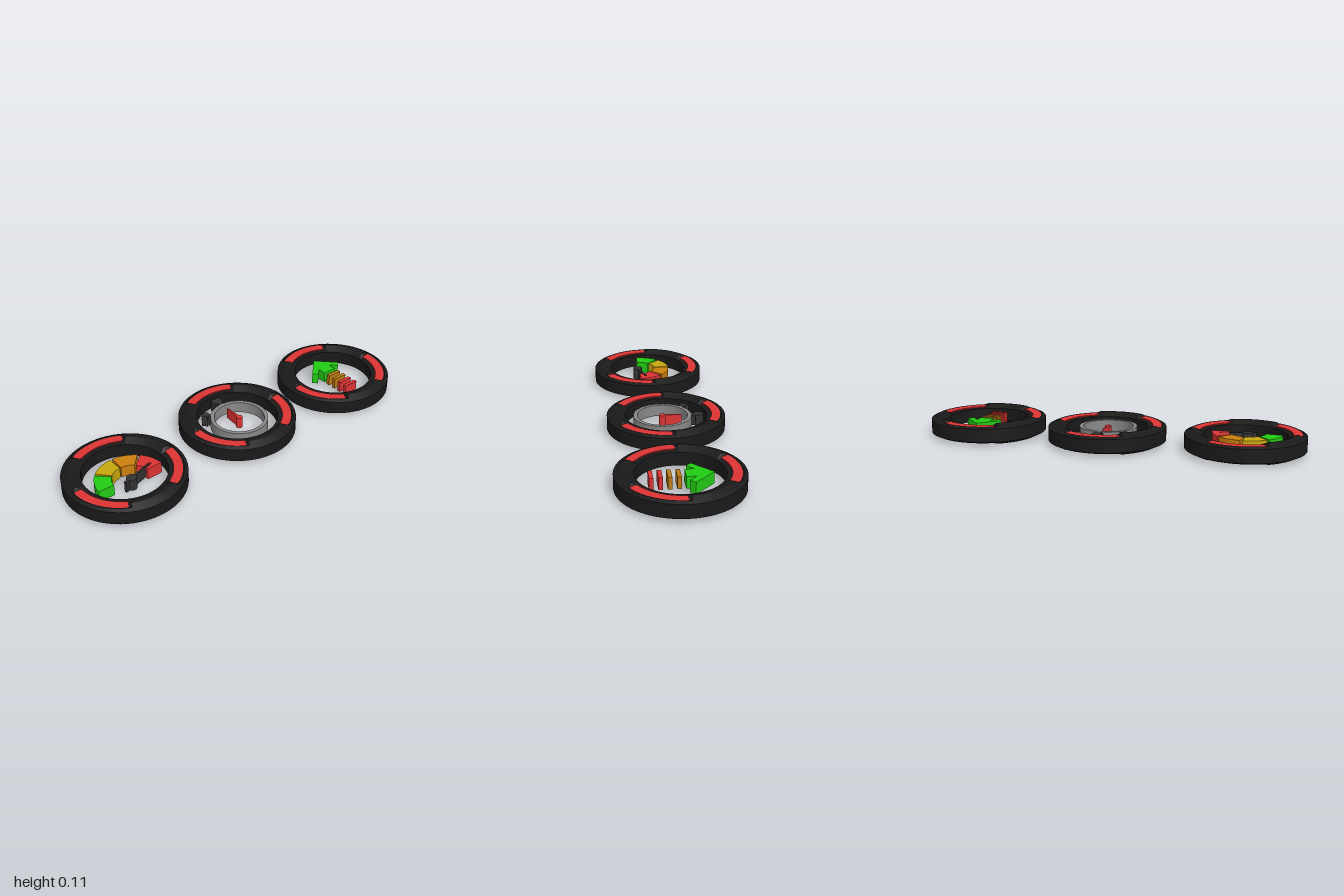
import * as THREE from 'three';
import { toCreasedNormals } from 'three/addons/utils/BufferGeometryUtils.js';

const H = 0.107;               // overall height
const LOW = 0.024, THICK = 0.06; // base and thickness of the inner symbols
const RAD = Math.PI / 180;

const paint = (color) => new THREE.MeshStandardMaterial({ color });
const black = paint(0x1a1a1a), dark = paint(0x333333), silver = paint(0x888888);
const red = paint(0xdd3333), green = paint(0x22cc14), yellow = paint(0xc8a80e);
const orange = paint(0xcc800e), amber = paint(0xbb7a14);

function add(group, name, geometry, material) {
  const mesh = new THREE.Mesh(geometry, material);
  mesh.name = name;
  group.add(mesh);
  return mesh;
}

// Lay a shape flat (shape up = away from the front) and give it thickness
function slab(shape, low = LOW, thick = THICK) {
  const geo = new THREE.ExtrudeGeometry(shape, { depth: thick, bevelEnabled: false, curveSegments: 24 });
  geo.rotateX(-Math.PI / 2).translate(0, low, 0);
  return toCreasedNormals(geo, 0.5);
}

const polygon = (points) => new THREE.Shape(points.map(([x, y]) => new THREE.Vector2(x, y)));

const disc = (r) => new THREE.CylinderGeometry(r, r, THICK, 24).translate(0, LOW + THICK / 2, 0);

// Chamfered ring whose crown dips at three slots
function ringGeometry() {
  const top = [[0.305, 0.088], [0.286, 0.097], [0.265, H], [0.25, H], [0.236, 0.1], [0.21, 0.088]];
  const bottom = top.map(([r, y]) => [r, H - y]).reverse();
  const loop = [...top, ...bottom, top[0]].map(([r, y]) => new THREE.Vector2(r, y));
  const geo = new THREE.LatheGeometry(loop, 96);
  const pos = geo.attributes.position;
  for (let i = 0; i < pos.count; i++) {
    const x = pos.getX(i), y = pos.getY(i), z = pos.getZ(i);
    const r = Math.hypot(x, z);
    if (r < 0.23 || r > 0.28) continue;
    // angle from the nearest slot centre
    const phi = Math.atan2(x, -z) / RAD + 360;
    const off = Math.abs(((phi + 60) % 120) - 60);
    const depth = 1 - THREE.MathUtils.smoothstep(off, 29, 34);
    const side = y > H / 2 ? 1 : -1;
    const height = Math.abs(y - H / 2);
    pos.setY(i, H / 2 + side * THREE.MathUtils.lerp(height, 0.0365, depth));
  }
  return toCreasedNormals(geo, 0.35);
}

// Curved strip with round ends, set in each slot
function stripGeometry() {
  const m = 0.26, w = 0.025, a = 27 * RAD;
  const s = new THREE.Shape();
  s.absarc(0, 0, m + w, -a, a, false);
  s.absarc(m * Math.cos(a), m * Math.sin(a), w, a, a + Math.PI, false);
  s.absarc(0, 0, m - w, a, -a, true);
  s.absarc(m * Math.cos(a), -m * Math.sin(a), w, Math.PI - a, 2 * Math.PI - a, false);
  return slab(s, 0.012, H - 0.024);
}

function makeRing(name, x, z) {
  const group = new THREE.Group();
  group.name = name;
  group.position.set(x, 0, z);
  add(group, 'ring', ringGeometry(), black);
  for (let i = 0; i < 3; i++) {
    add(group, 'inlay', stripGeometry(), red).rotation.y = (90 + i * 120) * RAD;
  }
  return group;
}

// Gauge with four sectors and a needle
function gauge(group) {
  const dial = new THREE.Group();
  dial.name = 'dial';
  dial.position.z = 0.058;
  group.add(dial);
  const inner = 0.095, outer = 0.178;
  [red, orange, yellow, green].forEach((material, i) => {
    const a = (i * 45 + 2) * RAD, b = (i * 45 + 43) * RAD;
    const s = new THREE.Shape();
    s.absarc(0, 0, outer, a, b, false);
    if (i === 0) {
      // clearance for the needle tip
      const p = 21 * RAD, q = 11 * RAD, tip = 0.14;
      s.absarc(0, 0, inner, b, p, true);
      s.lineTo(tip * Math.cos(18.5 * RAD), tip * Math.sin(18.5 * RAD));
      s.lineTo(tip * Math.cos(13 * RAD), tip * Math.sin(13 * RAD));
      s.absarc(0, 0, inner, q, a, true);
    } else {
      s.absarc(0, 0, inner, b, a, true);
    }
    s.closePath();
    add(dial, 'sector', slab(s), material);
  });
  add(dial, 'hub', disc(0.026), dark);
  const needle = polygon([[-0.045, -0.007], [0.13, -0.003], [0.13, 0.003], [-0.045, 0.007]]);
  add(dial, 'needle', slab(needle), dark).rotation.y = 16 * RAD;
}

// Stopwatch with a crown, a side button and a hand
function stopwatch(group) {
  const watch = new THREE.Group();
  watch.name = 'stopwatch';
  watch.position.z = 0.018;
  group.add(watch);
  const rim = new THREE.Shape().absarc(0, 0, 0.15, 0, Math.PI * 2, false);
  rim.holes.push(new THREE.Path().absarc(0, 0, 0.13, 0, Math.PI * 2, true));
  add(watch, 'rim', slab(rim), silver);
  const button = (name, turn, scale) => {
    const s = polygon([[-0.013, 0.148], [0.013, 0.148], [0.013, 0.168], [0.026, 0.168],
      [0.026, 0.21], [-0.026, 0.21], [-0.026, 0.168], [-0.013, 0.168]].map(
      ([x, y]) => [x * scale, 0.148 + (y - 0.148) * scale]));
    add(watch, name, slab(s), dark).rotation.y = turn;
  };
  button('crown', 0, 1);
  button('sideButton', 45 * RAD, 0.75);
  add(watch, 'pivot', disc(0.017), red);
  add(watch, 'hand', slab(polygon([[-0.008, 0], [0.008, 0], [0.002, 0.1], [-0.002, 0.1]])), red);
}

// Arrow with a trail of bars
function arrow(group) {
  const half = [[0.098, 0.058], [0.074, 0.034], [0.038, 0.07], [0.038, 0.022]];
  const mirrored = half.map(([x, y]) => [-x, y]).reverse();
  add(group, 'arrow', slab(polygon([[0, 0.156], ...half, ...mirrored])), green);
  [yellow, amber, red, red].forEach((material, i) => {
    const bar = new THREE.BoxGeometry(0.08, THICK, 0.02);
    add(group, 'bar', bar, i === 0 ? amber : material)
      .position.set(0, LOW + THICK / 2, 0.008 + i * 0.043);
  });
}

export function createModel() {
  const model = new THREE.Group();
  model.name = 'ringBadges';
  const parts = [
    ['gaugeRing', -0.695, 0.015, gauge],
    ['stopwatchRing', 0.02, -0.015, stopwatch],
    ['arrowRing', 0.695, -0.008, arrow],
  ];
  for (const [name, x, z, fill] of parts) {
    const ring = makeRing(name, x, z);
    fill(ring);
    model.add(ring);
  }
  return model;
}
